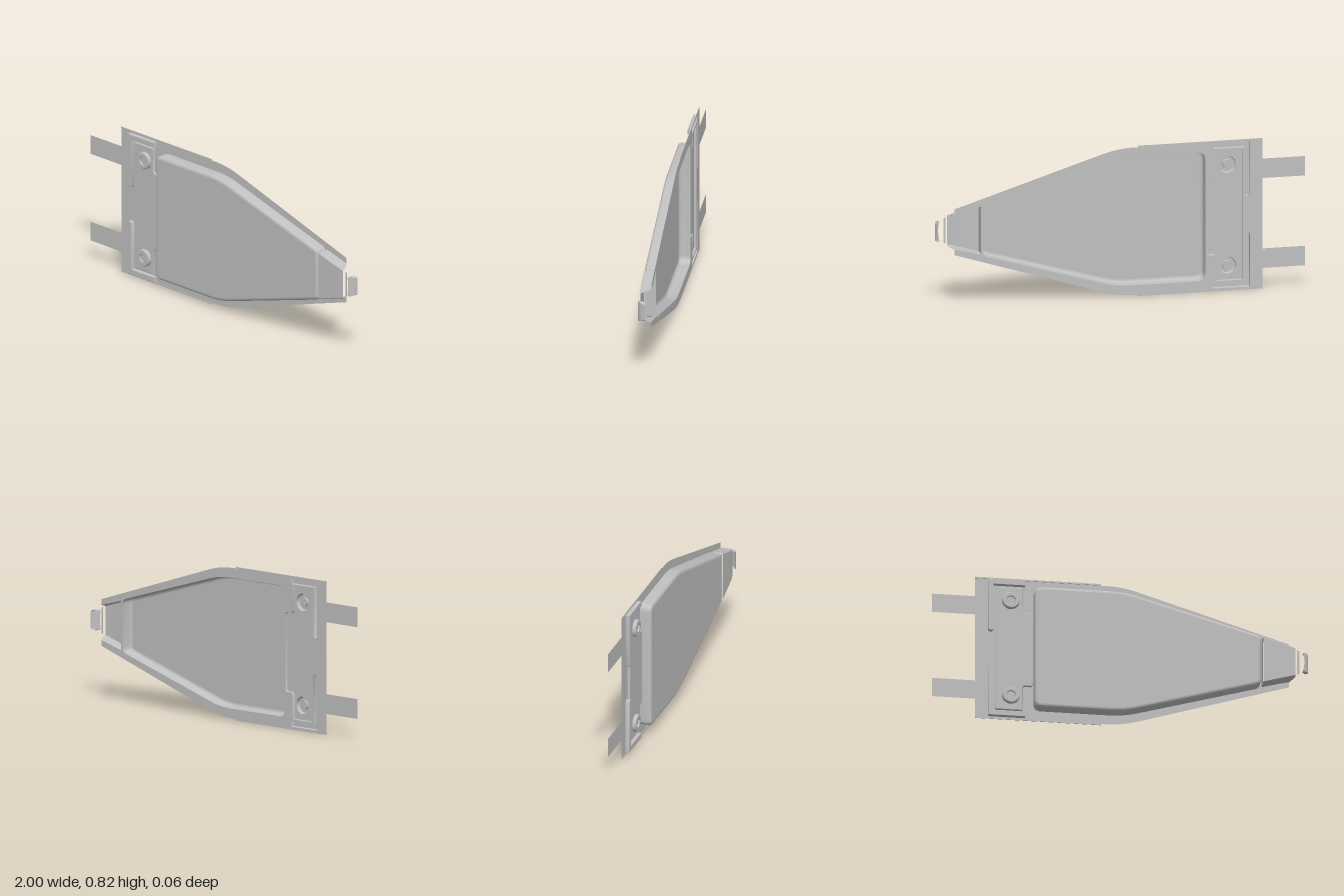
import * as THREE from 'three';
import { mergeGeometries, toCreasedNormals } from 'three/addons/utils/BufferGeometryUtils.js';

const BACK = -0.031, FRONT = 0.031;
const steel = new THREE.MeshStandardMaterial({ color: 0xc0c0c0, side: THREE.DoubleSide });
steel.name = 'plain grey steel';

const V = (x, y) => new THREE.Vector2(x, y);
const mirrorY = pts => pts.map(p => V(p.x, -p.y)).reverse();

// Clean clockwise point loop
function loop(points) {
  const pts = points.filter((p, i) => p.distanceTo(points[(i + 1) % points.length]) > 1e-5);
  return THREE.ShapeUtils.isClockWise(pts) ? pts : pts.reverse();
}

// Move a clockwise loop inwards by d
function inset(pts, d) {
  const n = pts.length;
  const normal = (a, b) => { const t = b.clone().sub(a).normalize(); return V(t.y, -t.x); };
  return pts.map((p, i) => {
    const n1 = normal(pts[(i + n - 1) % n], p), n2 = normal(p, pts[(i + 1) % n]);
    return n1.clone().add(n2).multiplyScalar(d / (1 + n1.dot(n2))).add(p);
  });
}

// Skin between rows of 3D points, wound to face outwards
function skin(rows, closed) {
  const n = rows[0].length, index = [];
  for (let r = 0; r < rows.length - 1; r++) {
    for (let i = 0; i < (closed ? n : n - 1); i++) {
      const a = r * n + i, b = r * n + (i + 1) % n;
      index.push(a, a + n, b, b, a + n, b + n);
    }
  }
  const g = new THREE.BufferGeometry();
  g.setAttribute('position', new THREE.Float32BufferAttribute(rows.flat().flat(), 3));
  g.setIndex(index);
  return toCreasedNormals(g, 0.6);
}

function flat(pts, z, holes = []) {
  const shape = new THREE.Shape(pts);
  holes.forEach(h => shape.holes.push(new THREE.Path(h)));
  return new THREE.ShapeGeometry(shape).translate(0, 0, z);
}

// Pressed sheet: upright wall, rounded shoulder, flat face, open back
function pressed(points, top, radius, holes) {
  const pts = loop(points);
  const rows = [pts.map(p => [p.x, p.y, BACK])];
  const steps = 5;
  let last = pts;
  for (let k = 0; k <= steps; k++) {
    const a = k / steps * Math.PI / 2;
    last = inset(pts, radius * (1 - Math.cos(a)));
    rows.push(last.map(p => [p.x, p.y, top - radius * (1 - Math.sin(a))]));
  }
  // Clockwise rows rise towards the front, so reverse them to face outwards
  const wall = skin(rows.map(row => row.slice().reverse()).reverse(), true);
  const face = flat(last, top, holes).toNonIndexed();
  face.deleteAttribute('uv');
  return mergeGeometries([wall, face]);
}

const circle = (x, y, r) => new THREE.Path().absarc(x, y, r, 0, Math.PI * 2).getPoints(16).slice(0, -1);

export function createModel() {
  const model = new THREE.Group();
  model.name = 'pressedCover';
  const body = new THREE.Group();
  body.name = 'coverBody';
  body.position.y = 0.41;
  model.add(body);
  const add = (name, geometry) => {
    const mesh = new THREE.Mesh(geometry, steel);
    mesh.name = name;
    body.add(mesh);
    return mesh;
  };

  // Tapered dish outline, mirrored about its long axis
  const dishHalf = new THREE.Path();
  dishHalf.moveTo(-0.46, 0.31).quadraticCurveTo(-0.46, 0.35, -0.42, 0.35);
  dishHalf.lineTo(-0.06, 0.35).quadraticCurveTo(0.01, 0.35, 0.08, 0.332);
  dishHalf.lineTo(0.72, 0.147).quadraticCurveTo(0.745, 0.14, 0.745, 0.115);
  const dishTop = dishHalf.getPoints(8);
  const dish = loop([...dishTop, ...mirrorY(dishTop)]);
  add('dish', pressed(dish, FRONT, 0.018));

  // Mounting pad with a tongue reaching the dish
  const padTop = [V(-0.665, 0.355), V(-0.52, 0.355), V(-0.52, 0.225), V(-0.512, 0.213), V(-0.472, 0.213), V(-0.463, 0.2)];
  const pad = [...padTop, ...mirrorY(padTop)];
  const boltY = 0.275, boltX = -0.582, padZ = -0.018;
  add('mountingPad', pressed(pad, padZ, 0.004, [circle(boltX, boltY, 0.047), circle(boltX, -boltY, 0.047)]));

  // Corner ribs around the pad
  const rib = [V(-0.702, 0.395), V(-0.505, 0.395), V(-0.505, 0.366), V(-0.674, 0.366),
    V(-0.674, 0.108), V(-0.68, 0.098), V(-0.696, 0.098), V(-0.702, 0.108)];
  add('upperRib', pressed(rib, -0.008, 0.002));
  add('lowerRib', pressed(mirrorY(rib), -0.008, 0.002));

  // Flange sheet, open under the dish, the pad and the ribs, notched at the nose
  const edge = new THREE.Path();
  edge.moveTo(-0.77, 0.402).lineTo(-0.1, 0.402);
  edge.quadraticCurveTo(0, 0.405, 0.09, 0.378);
  edge.lineTo(0.9, 0.125).lineTo(0.9, 0.094).lineTo(0.755, 0.133);
  const flangeTop = edge.getPoints(10);
  add('flange', flat([...flangeTop, ...mirrorY(flangeTop)], BACK, [dish, pad, rib, mirrorY(rib)]));

  // Edge lips, straps and bolts on both halves
  for (const s of [1, -1]) {
    const side = s > 0 ? 'upper' : 'lower';
    add(side + 'Lip', new THREE.BoxGeometry(0.67, 0.008, 0.003).translate(-0.435, s * 0.406, BACK + 0.0015));
    add(side + 'Strap', new THREE.PlaneGeometry(0.23, 0.106).translate(-0.885, s * 0.245, BACK));
    // Lathe profile runs inwards so the bolt faces the front
    const profile = [V(0.047, padZ), V(0.046, -0.003), V(0.042, 0.001), V(0.024, 0.001), V(0.022, -0.008), V(0.001, -0.008)];
    const bolt = new THREE.LatheGeometry(profile.reverse(), 24).rotateX(Math.PI / 2);
    add(side + 'Bolt', toCreasedNormals(bolt, 0.5)).position.set(boltX, s * boltY, 0);
  }

  // Open-ended nose channel: x, half width at foot and face, face height, foot height
  const section = (x, foot, face, z, low = BACK) => [
    [x, -foot, low], [x, -face - 0.002, z - 0.004], [x, -face + 0.002, z],
    [x, face - 0.002, z], [x, face + 0.002, z - 0.004], [x, foot, low]];
  add('nose', skin([
    section(0.755, 0.133, 0.13, FRONT),
    section(0.85, 0.107, 0.102, FRONT - 0.001),
    section(0.904, 0.094, 0.086, FRONT - 0.003),
    section(0.928, 0.083, 0.078, FRONT - 0.006, 0.012)], false));
  add('noseRearWall', flat([V(-0.133, BACK), V(0.133, BACK), V(0.126, FRONT - 0.003), V(-0.126, FRONT - 0.003)], 0)
    .applyMatrix4(new THREE.Matrix4().set(0, 0, 1, 0.755, 1, 0, 0, 0, 0, 1, 0, 0, 0, 0, 0, 1)));

  // Narrow strip and curved end piece with turned-back sides beyond the nose
  add('tipStrip', flat([V(0.938, -0.072), V(0.949, -0.066), V(0.949, 0.066), V(0.938, 0.072)], 0.016));
  const tipRows = [[0.968, 0.05, 0.031], [0.982, 0.056, 0.026], [0.994, 0.05, 0.012], [1, 0.044, -0.012]]
    .map(([x, h, z]) => {
      const face = [-1, -0.6, 0, 0.6, 1].map(t => [x + (x < 0.97 ? 0.006 * (1 - t * t) : 0), t * h, z]);
      const back = Math.max(z - 0.03, -0.012);
      return [[x, -h, back], ...face, [x, h, back]];
    });
  add('tip', skin(tipRows, false));

  return model;
}
